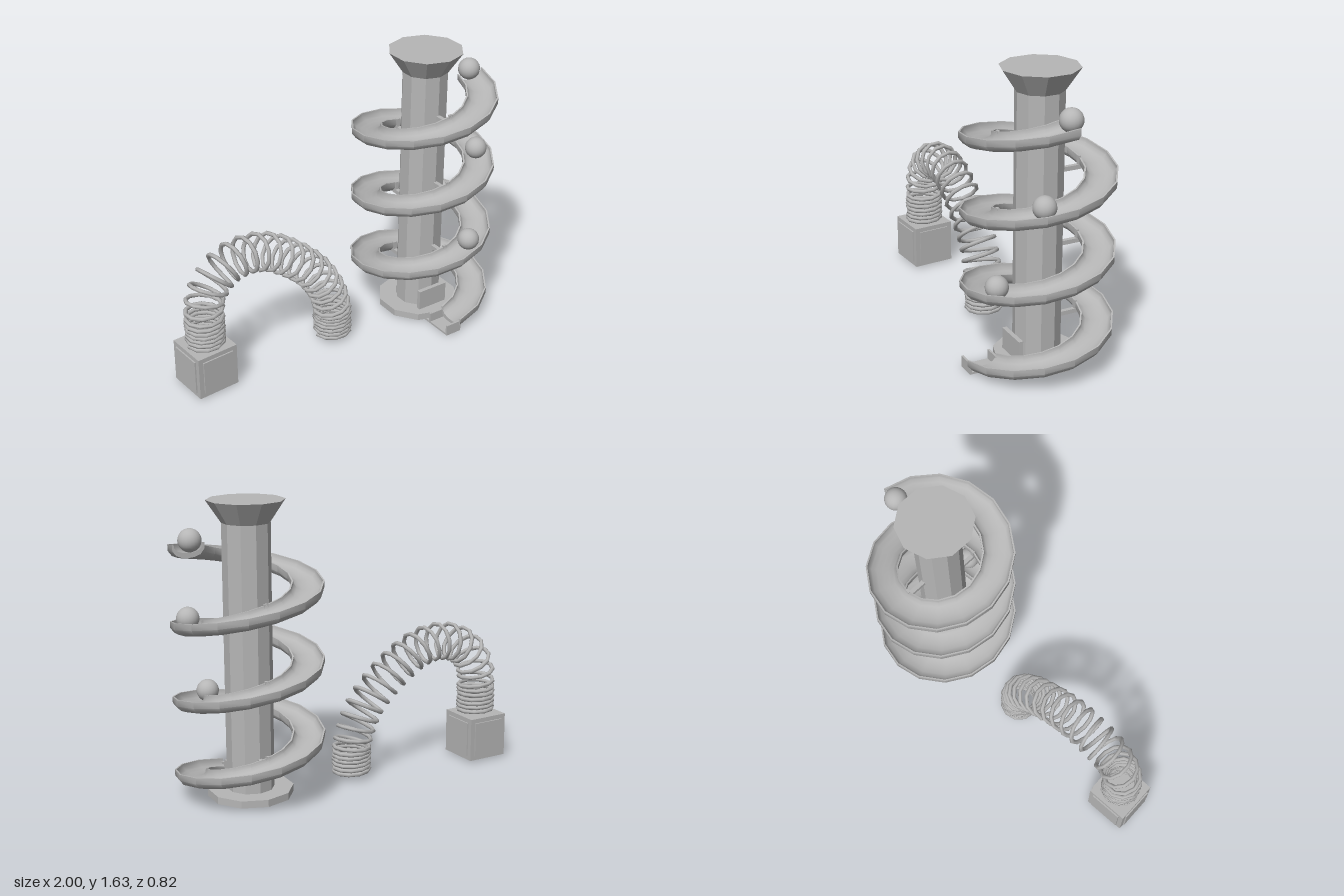
import * as THREE from 'three';
import { toCreasedNormals } from 'three/addons/utils/BufferGeometryUtils.js';

const grey = new THREE.MeshStandardMaterial({ color: 0xb6b6b6 });
grey.name = 'plain grey';

function add(parent, name, geometry, x = 0, y = 0, z = 0) {
  const mesh = new THREE.Mesh(geometry, grey);
  mesh.name = name;
  mesh.position.set(x, y, z);
  parent.add(mesh);
  return mesh;
}

const box = (w, h, d) => new THREE.BoxGeometry(w, h, d);
const faceted = (top, bottom, h) => toCreasedNormals(new THREE.CylinderGeometry(top, bottom, h, 10), 0.3);

// Helical marble run
const RIM_TOP = 1.425, PITCH = 0.413, TURNS = 3.25, RUN_RADIUS = 0.322;

function rampGeometry() {
  const outer = [[0.088, 0], [0.087, -0.035], [0.066, -0.062], [0.034, -0.074], [0, -0.077],
    [-0.034, -0.074], [-0.066, -0.062], [-0.087, -0.035], [-0.088, 0]];
  const inner = [[-0.079, 0], [-0.077, -0.02], [-0.06, -0.038], [-0.032, -0.048], [0, -0.051],
    [0.032, -0.048], [0.06, -0.038], [0.077, -0.02], [0.079, 0]];
  const profile = [...outer, ...inner];
  const n = profile.length, steps = 52;
  const positions = [], index = [];
  for (let i = 0; i <= steps; i++) {
    const turn = (i / steps) * TURNS, a = turn * Math.PI * 2;
    for (const [dr, dy] of profile) {
      const r = RUN_RADIUS + dr;
      positions.push(r * Math.cos(a), RIM_TOP - turn * PITCH + dy, r * Math.sin(a));
    }
  }
  for (let i = 0; i < steps; i++) {
    for (let j = 0; j < n; j++) {
      const p = i * n + j, q = i * n + (j + 1) % n;
      index.push(p, p + n, q, q, p + n, q + n);
    }
  }
  // Close both ends
  const last = steps * n;
  for (let j = 0; j < outer.length - 1; j++) {
    const a = j, b = j + 1, c = n - 2 - j, d = n - 1 - j;
    index.push(a, b, c, a, c, d);
    index.push(last + a, last + c, last + b, last + a, last + d, last + c);
  }
  const g = new THREE.BufferGeometry();
  g.setAttribute('position', new THREE.Float32BufferAttribute(positions, 3));
  g.setIndex(index);
  return toCreasedNormals(g, 0.75);
}

function makeTower() {
  const tower = new THREE.Group();
  tower.name = 'marbleTower';
  tower.position.x = 0.59;
  add(tower, 'base', faceted(0.235, 0.235, 0.04), 0, 0.03);
  add(tower, 'column', faceted(0.13, 0.13, 1.48), 0, 0.77);
  add(tower, 'funnel', faceted(0.21, 0.13, 0.12), 0, 1.57);
  add(tower, 'spiralRamp', rampGeometry());

  // Brackets joining column and ramp at front and back of each turn
  for (let k = 0; k < 3; k++) {
    for (const [side, turn] of [[1, 0.25], [-1, 0.75]]) {
      const y = RIM_TOP - (k + turn) * PITCH - 0.055;
      add(tower, 'bracket', box(0.024, 0.024, 0.14), 0, y, side * 0.185);
      add(tower, 'bracketTab', box(0.024, 0.05, 0.014), 0, y + 0.035, side * 0.235);
    }
  }

  // Exit tray and stop board at the foot
  add(tower, 'trayFloor', box(0.1, 0.012, 0.34), -0.04, 0.006, 0.23);
  add(tower, 'trayOuterWall', box(0.1, 0.06, 0.012), -0.04, 0.036, 0.395);
  add(tower, 'trayInnerWall', box(0.1, 0.06, 0.012), -0.04, 0.036, 0.24);
  add(tower, 'stopBoard', box(0.19, 0.13, 0.025), -0.005, 0.105, 0.14);

  // Marbles
  for (const [x, y, z] of [[0.315, 1.44, 0], [0.29, 1.0, 0.125], [0.12, 0.535, 0.3]]) {
    add(tower, 'marble', new THREE.SphereGeometry(0.062, 20, 14), x, y, z);
  }
  return tower;
}

// Coil wound round an arched centre line; each station is [x, y, turns so far]
const stations = [[-0.86, 0.275, 0], [-0.86, 0.36, 3.5], [-0.86, 0.44, 6.5], [-0.85, 0.545, 8.3],
  [-0.79, 0.65, 10], [-0.7, 0.71, 11.5], [-0.58, 0.727, 13.2], [-0.46, 0.7, 14.9], [-0.34, 0.63, 16.7],
  [-0.22, 0.53, 18.7], [-0.12, 0.41, 20.8], [-0.06, 0.29, 22.8], [-0.035, 0.19, 24.5],
  [-0.032, 0.11, 28], [-0.032, 0.028, 31.5]];

class CoilCurve extends THREE.Curve {
  constructor() {
    super();
    this.arcLengthDivisions = 3000;
    this.spine = new THREE.CatmullRomCurve3(stations.map(([x, y]) => new THREE.Vector3(x, y, 0)));
  }
  getPoint(t, target = new THREE.Vector3()) {
    const f = t * (stations.length - 1);
    const i = Math.min(Math.floor(f), stations.length - 2);
    const turns = THREE.MathUtils.lerp(stations[i][2], stations[i + 1][2], f - i);
    const a = turns * Math.PI * 2, r = 0.102;
    const c = this.spine.getPoint(t), d = this.spine.getTangent(t);
    return target.set(c.x - d.y * r * Math.cos(a), c.y + d.x * r * Math.cos(a), r * Math.sin(a));
  }
}

function makeSpring() {
  const spring = new THREE.Group();
  spring.name = 'springToy';
  add(spring, 'coil', new THREE.TubeGeometry(new CoilCurve(), 340, 0.012, 6, false));
  return spring;
}

// Block with a raised panel on every side
function makeBlock() {
  const block = new THREE.Group();
  block.name = 'toyBlock';
  block.position.set(-0.865, 0.138, 0);
  block.rotation.y = 0.07;
  add(block, 'cube', box(0.246, 0.252, 0.246));
  for (let k = 0; k < 4; k++) {
    const a = k * Math.PI / 2;
    const panel = add(block, 'panel', box(0.19, 0.2, 0.009), 0.1265 * Math.sin(a), 0, 0.1265 * Math.cos(a));
    panel.rotation.y = a;
  }
  return block;
}

export function createModel() {
  const model = new THREE.Group();
  model.name = 'toySet';
  model.add(makeTower(), makeSpring(), makeBlock());
  return model;
}
